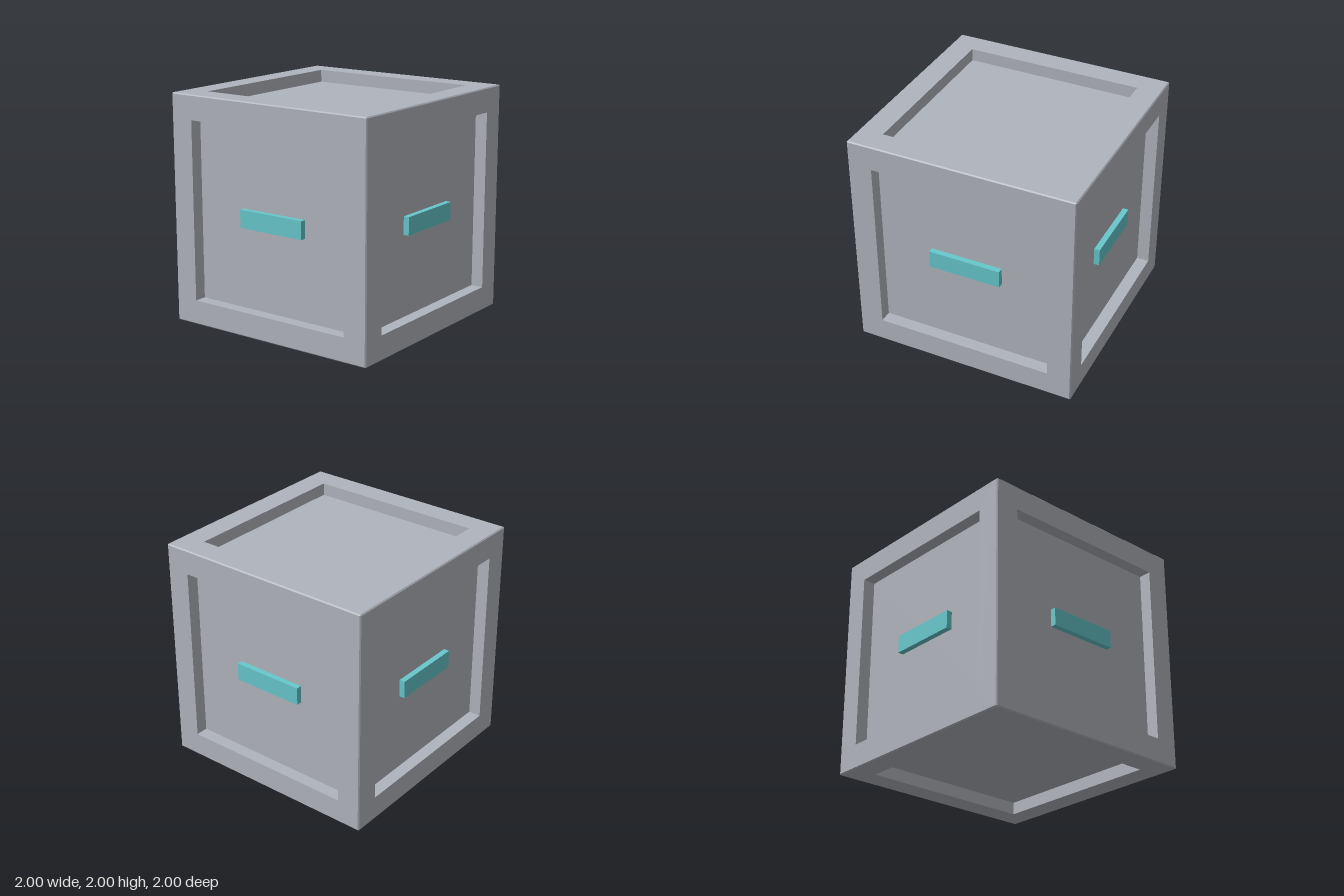
import * as THREE from 'three';

const HALF = 1;        // half the cube's edge
const BEVEL = 0.01;    // softened outer edge
const OPENING = 0.785; // half width of each recess
const FLOOR = 0.89;    // distance of the recess floor from the centre

// One cube side facing +z: a four-sided lathe sweeps bevel, rim, recess wall and floor
function sideGeometry() {
  const profile = [
    [HALF - BEVEL / 2, HALF - BEVEL / 2],
    [HALF - BEVEL, HALF],
    [OPENING, HALF],
    [OPENING, FLOOR],
    [0, FLOOR],
  ].map(([half, y]) => new THREE.Vector2(half * Math.SQRT2, y));
  const geometry = new THREE.LatheGeometry(profile, 4, Math.PI / 4).toNonIndexed();
  geometry.rotateX(Math.PI / 2);
  geometry.computeVertexNormals();
  return geometry;
}

export function createModel() {
  const grey = new THREE.MeshStandardMaterial({ color: 0xb0b4bc });
  grey.name = 'crate grey';
  const teal = new THREE.MeshStandardMaterial({ color: 0x66c7cc });
  teal.name = 'handle teal';

  const side = sideGeometry();
  const bar = new THREE.BoxGeometry(0.64, 0.156, 0.05);

  const model = new THREE.Group();
  model.name = 'crate';

  // Adds one recessed side, turned to its direction
  function addSide(name, rotX, rotY, hasHandle) {
    const group = new THREE.Group();
    group.name = name;
    group.position.y = HALF;
    group.rotation.set(rotX, rotY, 0);

    const panel = new THREE.Mesh(side, grey);
    panel.name = name + 'Panel';
    group.add(panel);

    // Handle bar resting on the recess floor
    if (hasHandle) {
      const handle = new THREE.Mesh(bar, teal);
      handle.name = name + 'Handle';
      handle.position.z = FLOOR + 0.025;
      group.add(handle);
    }
    model.add(group);
  }

  ['front', 'left', 'back', 'right'].forEach((name, i) => addSide(name, 0, (i * Math.PI) / 2, true));
  addSide('top', -Math.PI / 2, 0, false);
  addSide('bottom', Math.PI / 2, 0, false);

  return model;
}
